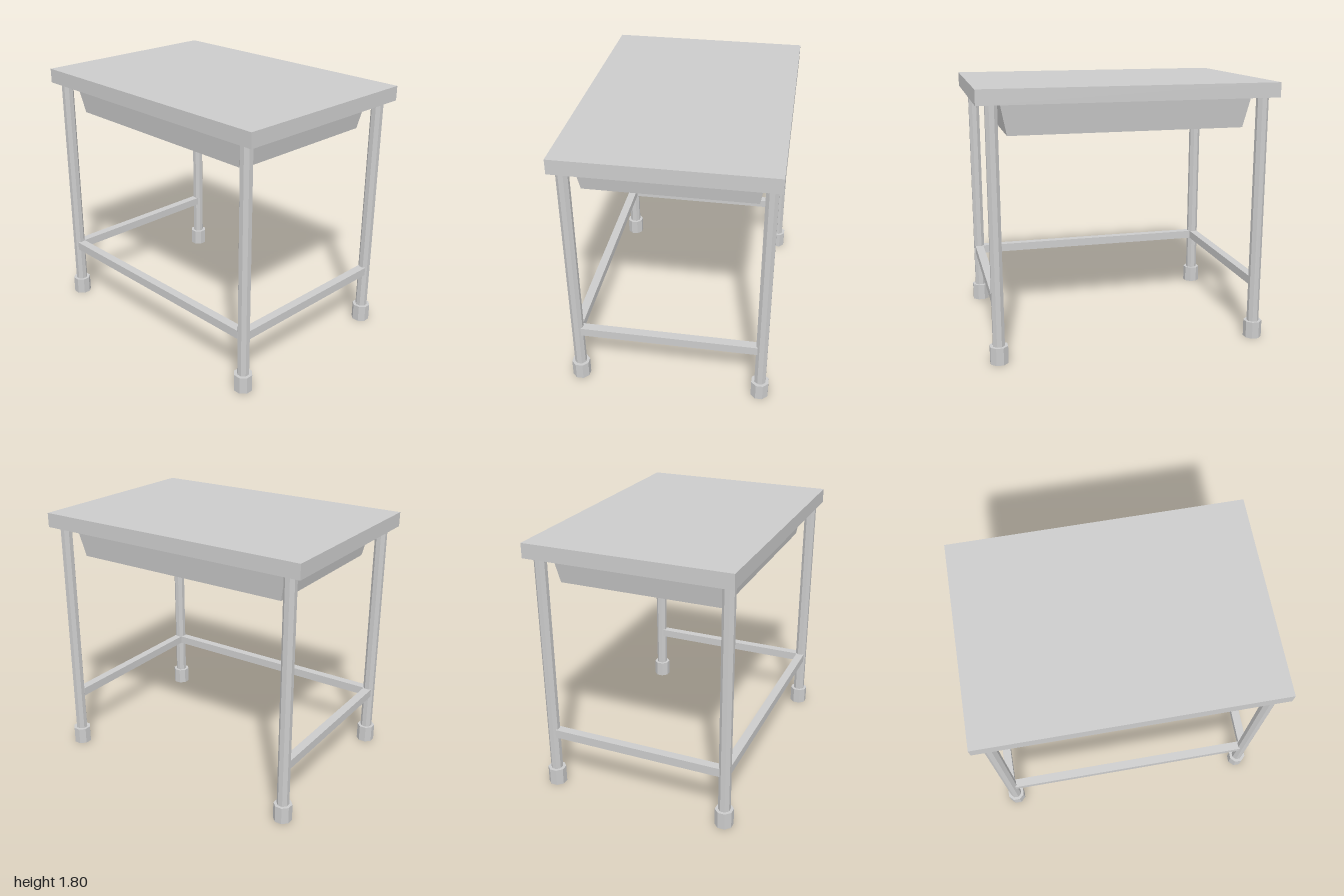
import * as THREE from 'three';

const LEG_X = 0.9, LEG_Z = 0.633;

export function createModel() {
  const model = new THREE.Group();
  model.name = 'table';
  const material = new THREE.MeshStandardMaterial({ color: 0xcccccc, flatShading: true });

  const add = (name, geometry, x, y, z) => {
    const mesh = new THREE.Mesh(geometry, material);
    mesh.name = name;
    mesh.position.set(x, y, z);
    model.add(mesh);
    return mesh;
  };

  // Octagonal prism with flat sides facing the axes; width is across the flats
  const octagon = (width, height) => {
    const radius = width / 2 / Math.cos(Math.PI / 8);
    return new THREE.CylinderGeometry(radius, radius, height, 8).rotateY(Math.PI / 8);
  };

  // Table top
  add('tableTop', new THREE.BoxGeometry(2, 0.1, 1.4), 0, 1.75, 0);

  // Tray under the top, narrowing towards its floor
  const tray = new THREE.BoxGeometry(1.68, 0.21, 1.18);
  const p = tray.attributes.position;
  for (let i = 0; i < p.count; i++) {
    if (p.getY(i) < 0) {
      p.setX(i, Math.sign(p.getX(i)) * 0.796);
      p.setZ(i, Math.sign(p.getZ(i)) * 0.558);
    }
  }
  tray.computeVertexNormals();
  add('tray', tray, 0, 1.595, 0);

  // Legs with thicker feet
  for (const [end, sz] of [['front', 1], ['back', -1]]) {
    for (const [side, sx] of [['Left', 1], ['Right', -1]]) {
      add(end + side + 'Leg', octagon(0.077, 1.6), sx * LEG_X, 0.9, sz * LEG_Z);
      add(end + side + 'Foot', octagon(0.117, 0.12), sx * LEG_X, 0.06, sz * LEG_Z);
    }
  }

  // Rails: one across the front and one on each side, the back stays open
  add('frontRail', new THREE.BoxGeometry(1.74, 0.06, 0.06), 0, 0.41, LEG_Z);
  add('leftRail', new THREE.BoxGeometry(0.06, 0.06, 1.21), LEG_X, 0.41, 0);
  add('rightRail', new THREE.BoxGeometry(0.06, 0.06, 1.21), -LEG_X, 0.41, 0);

  return model;
}
